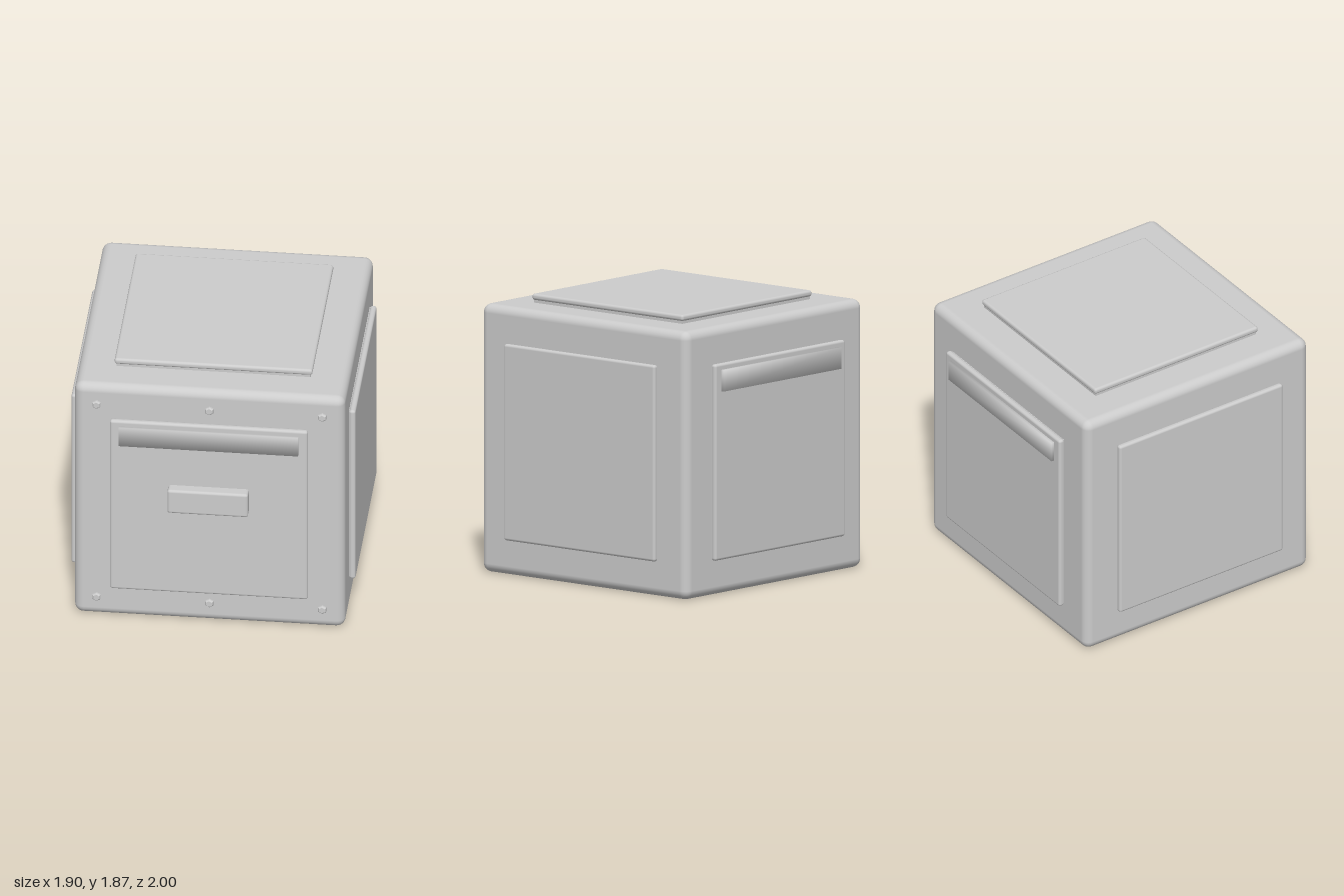
import * as THREE from 'three';
import { RoundedBoxGeometry } from 'three/addons/geometries/RoundedBoxGeometry.js';

const HALF = 0.905; // half the side of the cube body
const CENTRE_Z = -0.027;

// Rounded cube whose flat underside is left open
function openBottomCube(size, radius) {
  const geo = new RoundedBoxGeometry(size, size, size, 3, radius).toNonIndexed();
  const p = geo.attributes.position;
  const n = geo.attributes.normal;
  const pos = [], nor = [];
  const floor = -size / 2 + 1e-4;
  for (let i = 0; i < p.count; i += 3) {
    if ([0, 1, 2].every((k) => p.getY(i + k) < floor)) continue;
    for (let k = i; k < i + 3; k++) {
      pos.push(p.getX(k), p.getY(k), p.getZ(k));
      nor.push(n.getX(k), n.getY(k), n.getZ(k));
    }
  }
  const out = new THREE.BufferGeometry();
  out.setAttribute('position', new THREE.Float32BufferAttribute(pos, 3));
  out.setAttribute('normal', new THREE.Float32BufferAttribute(nor, 3));
  return out;
}

// Plain box with normals blended across its corners
function softBox(w, h, d) {
  const geo = new THREE.BoxGeometry(w, h, d);
  const p = geo.attributes.position;
  const s = 1 / Math.sqrt(3);
  for (let i = 0; i < p.count; i++) {
    geo.attributes.normal.setXYZ(i, Math.sign(p.getX(i)) * s, Math.sign(p.getY(i)) * s, Math.sign(p.getZ(i)) * s);
  }
  return geo;
}

export function createModel() {
  const model = new THREE.Group();
  const grey = new THREE.MeshStandardMaterial({ color: 0xcccccc, side: THREE.DoubleSide });
  grey.name = 'plain grey';

  const add = (parent, name, geo, x = 0, y = 0, z = 0) => {
    const mesh = new THREE.Mesh(geo, grey);
    mesh.name = name;
    mesh.position.set(x, y, z);
    parent.add(mesh);
    return mesh;
  };

  // Every part is placed around the middle of the cube
  const box = new THREE.Group();
  box.name = 'box';
  box.position.set(0, HALF, CENTRE_Z);
  model.add(box);

  add(box, 'body', openBottomCube(HALF * 2, 0.06));

  // Raised panels on five sides, each with a backing that passes through the wall
  const panelGeo = new RoundedBoxGeometry(1.325, 1.325, 0.043, 2, 0.018);
  const backingGeo = new THREE.BoxGeometry(1.3, 1.3, 0.024);
  const sides = [
    ['front', 0, 0, 0.005],
    ['back', 0, Math.PI, 0.005],
    ['left', 0, Math.PI / 2, 0.003],
    ['right', 0, -Math.PI / 2, 0.003],
    ['top', -Math.PI / 2, 0, 0.018],
  ];
  const faces = {};
  for (const [name, rx, ry, gap] of sides) {
    const face = new THREE.Group();
    face.name = name + 'Face';
    face.rotation.set(rx, ry, 0);
    box.add(face);
    faces[name] = face;
    add(face, name + 'Panel', panelGeo, 0, 0, HALF + gap + 0.0215);
    add(face, name + 'PanelBacking', backingGeo, 0, 0, HALF + 0.008);
  }

  // Slot strip near the top of the front and back panels
  const stripGeo = softBox(1.2, 0.145, 0.05);
  add(faces.front, 'frontSlotStrip', stripGeo, 0, 0.55, 0.945);
  add(faces.back, 'backSlotStrip', stripGeo, 0, 0.55, 0.948);

  // Handle on the front panel
  add(faces.front, 'handle', new RoundedBoxGeometry(0.54, 0.18, 0.1, 2, 0.018), 0, 0.095, 0.977);

  // Hexagonal bolts above and below the front panel, poking through the wall
  const boltGeo = new THREE.LatheGeometry(
    [[0, -0.01], [0.031, -0.01], [0.031, 0.012], [0.022, 0.022], [0, 0.022]].map(([r, y]) => new THREE.Vector2(r, y)), 6
  ).toNonIndexed();
  boltGeo.computeVertexNormals();
  boltGeo.rotateX(Math.PI / 2);
  for (const x of [-0.755, 0, 0.755]) {
    for (const y of [-0.755, 0.76]) add(faces.front, 'bolt', boltGeo, x, y, HALF);
  }

  return model;
}
